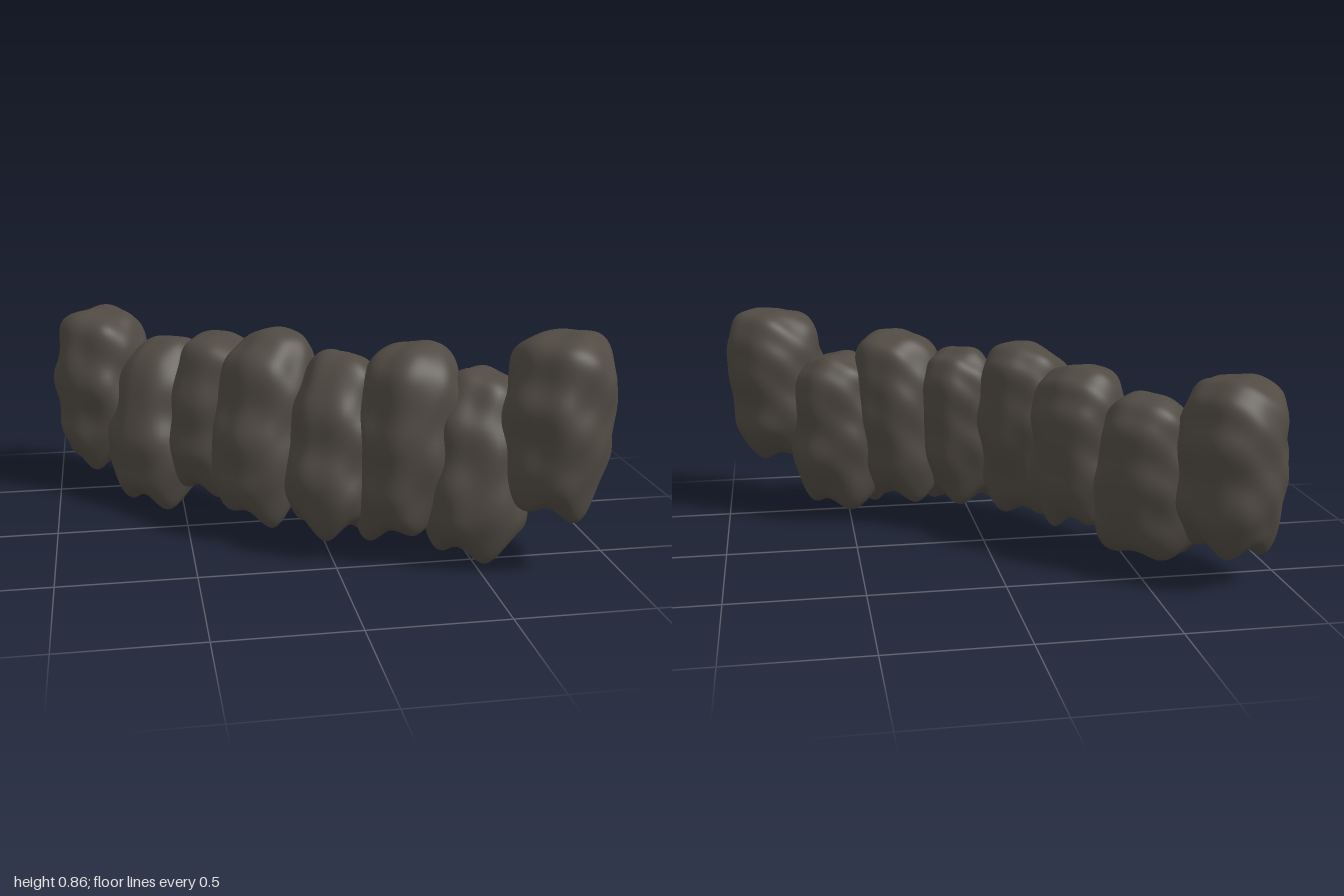
import * as THREE from 'three';
import { mergeVertices } from 'three/addons/utils/BufferGeometryUtils.js';

// Per segment: foot centre and crown centre [x, z], low and top y, half widths [x, z],
// flare of the foot, turn of the roots, and lift of the four roots above the low point
const SEGMENTS = [
  { base: [-0.80, -0.56], crown: [-0.80, -0.57], low: 0.10, top: 0.79, r: [0.195, 0.215], flare: 0.00, turn: -0.4, roots: [0.01, 0.04, 0.03, 0.02] },
  { base: [-0.58, -0.32], crown: [-0.54, -0.40], low: 0.01, top: 0.69, r: [0.205, 0.205], flare: 0.25, turn: 0.10, roots: [0.00, 0.06, 0.05, 0.02] },
  { base: [-0.37, -0.13], crown: [-0.34, -0.17], low: 0.10, top: 0.76, r: [0.190, 0.195], flare: 0.12, turn: 0.00, roots: [0.02, 0.00, 0.04, 0.03] },
  { base: [-0.22, 0.11], crown: [-0.16, 0.04], low: 0.07, top: 0.81, r: [0.195, 0.195], flare: 0.10, turn: 0.20, roots: [0.00, 0.03, 0.04, 0.05] },
  { base: [0.02, 0.30], crown: [0.07, 0.22], low: 0.08, top: 0.76, r: [0.180, 0.195], flare: 0.18, turn: -0.40, roots: [0.00, 0.02, 0.03, 0.03] },
  { base: [0.26, 0.38], crown: [0.31, 0.36], low: 0.07, top: 0.82, r: [0.198, 0.202], flare: 0.03, turn: 0.20, roots: [0.05, 0.05, 0.03, 0.00] },
  { base: [0.51, 0.47], crown: [0.54, 0.40], low: 0.03, top: 0.72, r: [0.200, 0.200], flare: 0.22, turn: 0.10, roots: [0.00, 0.04, 0.03, 0.02] },
  { base: [0.75, 0.59], crown: [0.80, 0.56], low: 0.20, top: 0.89, r: [0.200, 0.200], flare: -0.04, turn: 0.50, roots: [0.01, 0.04, 0.06, 0.05] },
];

// Unit profile of a segment: flat foot, full waist, domed crown
const PROFILE = new THREE.SplineCurve([
  [0, 0], [0.2, 0], [0.4, 0.003], [0.6, 0.015], [0.78, 0.05], [0.9, 0.12], [0.97, 0.22], [1, 0.4],
  [0.985, 0.58], [0.93, 0.74], [0.81, 0.87], [0.6, 0.95], [0.32, 0.99], [0, 1],
].map(([x, y]) => new THREE.Vector2(x, y))).getPoints(60)
  .map((p) => new THREE.Vector2(Math.max(p.x, 0), p.y));

// Smooth bumps over the unit segment, different for each seed
function bumps(x, y, z, seed) {
  return 0.5 * Math.sin(4.3 * x + 6 * y + seed * 1.9) * Math.cos(4.1 * z - 5 * y + seed)
    + 0.4 * Math.sin(15 * y + 2.5 * x - 2 * z + seed * 2.7)
    + 0.4 * Math.sin(6.5 * x - 9 * y + seed * 3.1) * Math.sin(6.1 * z + 11 * y - seed);
}

// Lumpy, leaning body whose foot is drawn down into four blunt roots
function segmentGeometry(s, seed) {
  const lathe = new THREE.LatheGeometry(PROFILE, 64);
  lathe.deleteAttribute('uv');
  lathe.deleteAttribute('normal');
  const g = mergeVertices(lathe, 1e-4);
  const p = g.attributes.position;
  const foot = s.low + 0.11;
  for (let i = 0; i < p.count; i++) {
    const x = p.getX(i), t = p.getY(i), z = p.getZ(i);
    const n = bumps(x, t, z, seed);
    const wide = (1 + s.flare * (0.5 - t)) * (1 + 0.07 * n);

    let drop = 0;
    s.roots.forEach((lift, k) => {
      const a = s.turn + k * Math.PI / 2;
      const d = Math.hypot(x - 0.66 * Math.sin(a), z - 0.66 * Math.cos(a));
      drop += (foot - s.low - lift) * Math.exp(-0.5 * (d / 0.27) ** 2);
    });
    drop *= Math.max(0, 1 - t / 0.4) ** 2;

    p.setXYZ(i,
      THREE.MathUtils.lerp(s.base[0], s.crown[0], t) + x * s.r[0] * wide,
      foot + t * (s.top - foot) - drop + 0.012 * n * t,
      THREE.MathUtils.lerp(s.base[1], s.crown[1], t) + z * s.r[1] * wide);
  }
  g.computeVertexNormals();
  return g;
}

export function createModel() {
  const model = new THREE.Group();
  model.name = 'lumpyRow';
  const stone = new THREE.MeshStandardMaterial({ color: 0x504a43 });
  stone.name = 'dark brown grey';

  SEGMENTS.forEach((s, i) => {
    const segment = new THREE.Mesh(segmentGeometry(s, i + 1), stone);
    segment.name = `segment${i + 1}`;
    model.add(segment);
  });
  return model;
}
